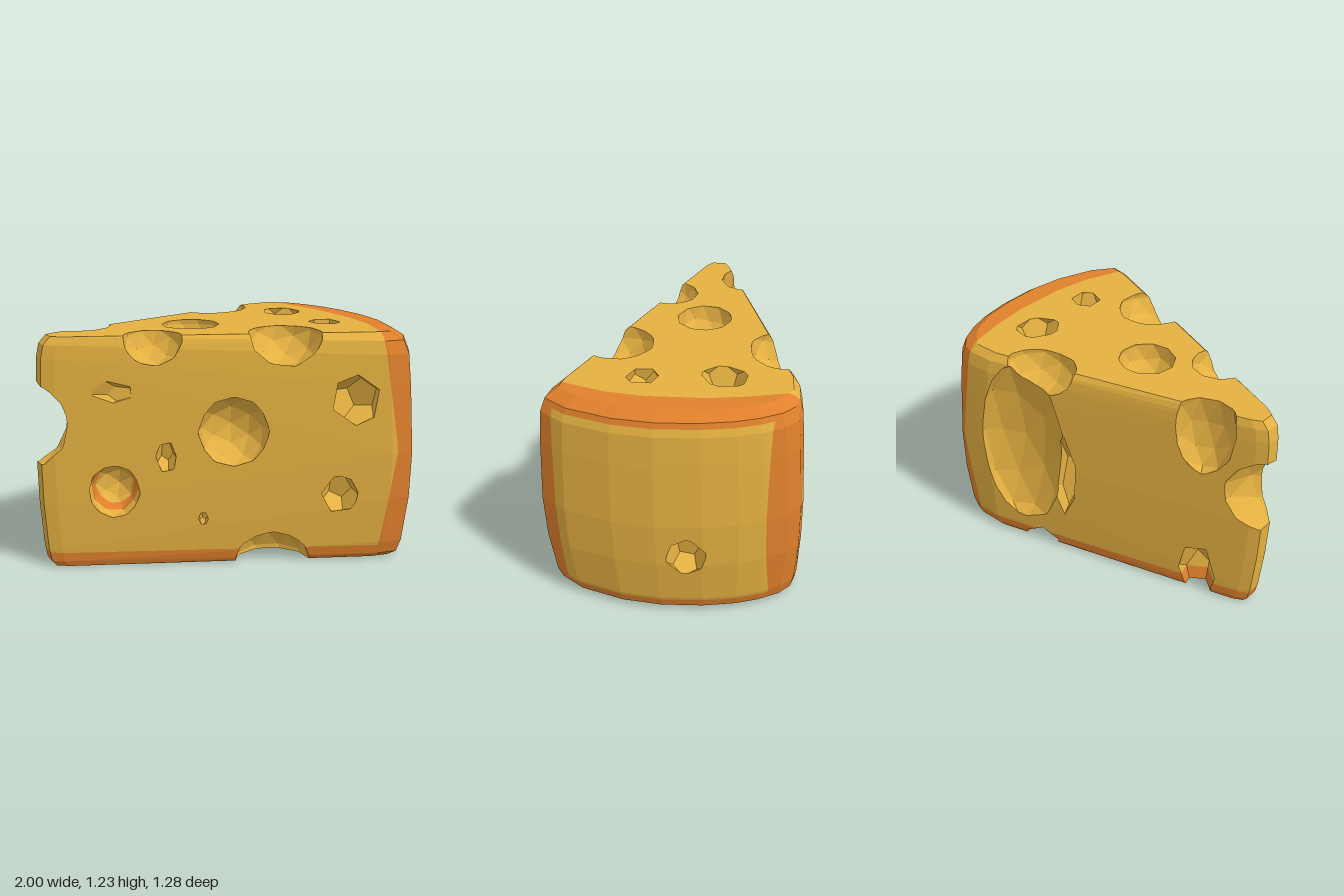
import * as THREE from 'three';
import { ConvexGeometry } from 'three/addons/geometries/ConvexGeometry.js';

const V = (x, y, z) => new THREE.Vector3(x, y, z);

// Triangles of a geometry as arrays of three points
function trianglesOf(geometry) {
  const g = geometry.index ? geometry.toNonIndexed() : geometry;
  const p = g.attributes.position, out = [];
  for (let i = 0; i < p.count; i += 3) {
    const t = [0, 1, 2].map(k => V().fromBufferAttribute(p, i + k));
    if (new THREE.Triangle(...t).getArea() > 1e-8) out.push(t);
  }
  return out;
}

const planeOf = poly => new THREE.Plane().setFromCoplanarPoints(poly[0], poly[1], poly[2]);

// Distinct outward planes of a convex solid
function planesOf(tris) {
  const planes = [];
  for (const t of tris) {
    const a = planeOf(t);
    if (!planes.some(b => a.normal.distanceTo(b.normal) < 1e-4 && Math.abs(a.constant - b.constant) < 1e-4)) planes.push(a);
  }
  return planes;
}

// Cut a polygon by a plane into [outer piece, inner piece]
function split(poly, plane) {
  const d = poly.map(p => plane.distanceToPoint(p));
  if (d.every(v => v < 1e-5)) return [null, poly];
  if (d.every(v => v > -1e-5)) return [poly, null];
  const outer = [], inner = [];
  poly.forEach((p, i) => {
    const j = (i + 1) % poly.length;
    if (d[i] >= 0) outer.push(p);
    if (d[i] <= 0) inner.push(p);
    if (d[i] * d[j] < 0) {
      const c = p.clone().lerp(poly[j], d[i] / (d[i] - d[j]));
      outer.push(c);
      inner.push(c);
    }
  });
  return [outer.length > 2 ? outer : null, inner.length > 2 ? inner : null];
}

// Pieces of a polygon lying outside / inside a convex solid
function outside(poly, planes) {
  const out = [];
  let rest = poly;
  for (const plane of planes) {
    const [o, i] = split(rest, plane);
    if (!i) return [poly];
    if (o) out.push(o);
    rest = i;
  }
  return out;
}
function inside(poly, planes) {
  let rest = poly;
  for (const plane of planes) {
    rest = split(rest, plane)[1];
    if (!rest) return [];
  }
  return [rest];
}

function meshOf(name, polys, material) {
  const pos = [];
  for (const p of polys)
    for (let i = 1; i < p.length - 1; i++)
      for (const v of [p[0], p[i], p[i + 1]]) pos.push(v.x, v.y, v.z);
  const g = new THREE.BufferGeometry();
  g.setAttribute('position', new THREE.Float32BufferAttribute(pos, 3));
  g.computeVertexNormals();
  const mesh = new THREE.Mesh(g, material);
  mesh.name = name;
  return mesh;
}

// Wedge plan (x, z) and its shrink at each height
const PLAN = [[-1, 0.5], [-0.97, 0.575], [-0.9, 0.59], [0.85, 0.638], [0.96, 0.615], [1, 0.45], [0.98, 0.18], [0.92, -0.04],
  [0.82, -0.26], [0.72, -0.42], [0.63, -0.525], [0.53, -0.61], [0.44, -0.645], [0.36, -0.625], [0.22, -0.56], [-0.96, 0.45]];
const LEVELS = [[0, 0.09], [0.03, 0.05], [0.1, 0.03], [0.35, 0.005], [0.6, 0], [0.95, 0.02], [1.12, 0.035], [1.19, 0.06], [1.23, 0.12]];
// Inner edge of the rind band on top and bottom (x, z)
const BAND = [[0.79, 0.65], [0.77, 0.3], [0.72, 0.1], [0.6, -0.19], [0.5, -0.36], [0.36, -0.56]];

const plane = (n, p) => new THREE.Plane().setFromNormalAndCoplanarPoint(n.normalize(), p);
const aboveRim = plane(V(0, -1, 0), V(0, 0.08, 0));
const belowRim = aboveRim.clone().negate();
// Rind showing as a ring inside one hole
const ring = [plane(V(0, 0, 1), V(0, 0, 0.52)), plane(V(0, 0, -1), V(0, 0, 0.47))];

// Holes: centre, radii, turn about y, zone of orange wall
const B = 0.71;
const HOLES = [
  // front face
  [0.02, 0.73, 0.6, 0.18, 0.18, 0.17], [-0.6, 0.42, 0.58, 0.13, 0.14, 0.17, 0, ring], [0.65, 0.89, 0.61, 0.125, 0.125, 0.12],
  [0.58, 0.38, 0.61, 0.095, 0.1, 0.11], [-0.33, 0.6, 0.6, 0.05, 0.08, 0.07], [-0.14, 0.26, 0.605, 0.025, 0.035, 0.02],
  [-0.6, 0.95, 0.61, 0.11, 0.06, 0.04],
  // front edges, top and bottom
  [-0.39, 1.23, 0.57, 0.15, 0.15, 0.16], [0.29, 1.23, 0.53, 0.19, 0.17, 0.21], [0.23, 0, 0.6, 0.2, 0.17, 0.19],
  // tip
  [-1.03, 0.78, 0.5, 0.21, 0.22, 0.32],
  // top and matching underside
  [-0.18, 1.22, 0.23, 0.15, 0.15, 0.15], [0.37, 1.22, -0.17, 0.1, 0.13, 0.12], [0.55, 1.22, 0.21, 0.08, 0.1, 0.08],
  [-0.19, 0.01, 0.29, 0.11, 0.12, 0.11], [0.37, 0.01, -0.14, 0.1, 0.12, 0.1], [0.55, 0.01, 0.27, 0.08, 0.1, 0.08, 0, belowRim],
  // back face
  [0.05, 0.69, -0.43, 0.26, 0.54, 0.14, B], [-0.14, 0.55, -0.25, 0.07, 0.27, 0.13, B], [0, 1.23, -0.31, 0.2, 0.17, 0.15, B],
  [0.04, 0, -0.29, 0.12, 0.12, 0.14, B, belowRim], [-0.74, 1.12, 0.27, 0.16, 0.28, 0.12, B],
  [-0.75, 0.13, 0.29, 0.1, 0.21, 0.11, B, belowRim],
  // curved side
  [0.85, 0.4, -0.18, 0.1, 0.11, 0.1],
];

// Faceted solid that scoops out one hole: rounder when large
function cutter([x, y, z, rx, ry, rz, turn = 0, tint = null], i) {
  const g = Math.max(rx, rz) > 0.14 ? new THREE.IcosahedronGeometry(1.04, 1) : new THREE.DodecahedronGeometry(1.1);
  g.rotateX(i * 1.3).rotateY(i * 2.1).rotateZ(i * 0.7);
  g.scale(rx, ry, rz).rotateY(turn).translate(x, y, z);
  const tris = trianglesOf(g);
  return { tris, planes: planesOf(tris), tint: tint && [tint].flat() };
}

export function createModel() {
  const paste = new THREE.MeshStandardMaterial({ color: 0xe4b041 });
  paste.name = 'cheese yellow';
  const rind = new THREE.MeshStandardMaterial({ color: 0xe0802c });
  rind.name = 'rind orange';

  // Rounded wedge, crisper towards the tip and fuller on the curved side
  const points = LEVELS.flatMap(([y, k]) => PLAN.map(([x, z]) => {
    const s = 1 - k * (x < 0 ? 0.5 : x > 0.4 ? 1.35 : 1);
    return V(0.2 + (x - 0.2) * s, y, 0.1 + (z - 0.1) * s);
  }));
  const bodyTris = trianglesOf(new ConvexGeometry(points));
  const bodyPlanes = planesOf(bodyTris);

  // Zones that stay yellow: a panel on the curved side, and all behind the rind band
  const panel = [aboveRim, plane(V(0, 1, 0), V(0, 1.16, 0)), plane(V(0, 0, 1), V(0, 0, 0.515)), plane(V(0, 0, -1), V(0, 0, -0.53))];
  const behindBand = [];
  for (let i = 0; i < BAND.length - 1; i++) {
    const [[x0, z0], [x1, z1]] = [BAND[i], BAND[i + 1]];
    for (const s of [1, -1]) {
      const n = V(z0 - z1, 0, x1 - x0).normalize();
      n.y = 0.15 * s;
      behindBand.push(plane(n, V(x0, 0.615 + 0.615 * s, z0)));
    }
  }

  // Scoop the holes out of the skin, then divide it by colour
  const cutters = HOLES.map(cutter);
  const carve = (polys, skip) => cutters.reduce((list, c) => c === skip ? list : list.flatMap(p => outside(p, c.planes)), polys);
  const yellow = [], orange = [];
  for (const t of bodyTris) {
    const n = planeOf(t).normal;
    const onSide = n.x > 0.5 && Math.abs(n.y) < 0.6;
    const zone = onSide ? panel : n.y < -0.95 ? behindBand : [aboveRim, ...behindBand];
    for (const piece of carve([t])) {
      yellow.push(...inside(piece, zone));
      orange.push(...outside(piece, zone));
    }
  }

  // Hole walls, some with rind showing
  const walls = [], rindWalls = [];
  for (const c of cutters)
    for (const t of c.tris)
      for (const piece of carve(inside([...t].reverse(), bodyPlanes), c)) {
        walls.push(...(c.tint ? outside(piece, c.tint) : [piece]));
        if (c.tint) rindWalls.push(...inside(piece, c.tint));
      }

  const cheese = new THREE.Group();
  cheese.name = 'cheeseWedge';
  cheese.add(meshOf('cheeseBody', yellow, paste), meshOf('rindEdges', orange, rind),
    meshOf('holeWalls', walls, paste), meshOf('rindInHoles', rindWalls, rind));
  return cheese;
}
